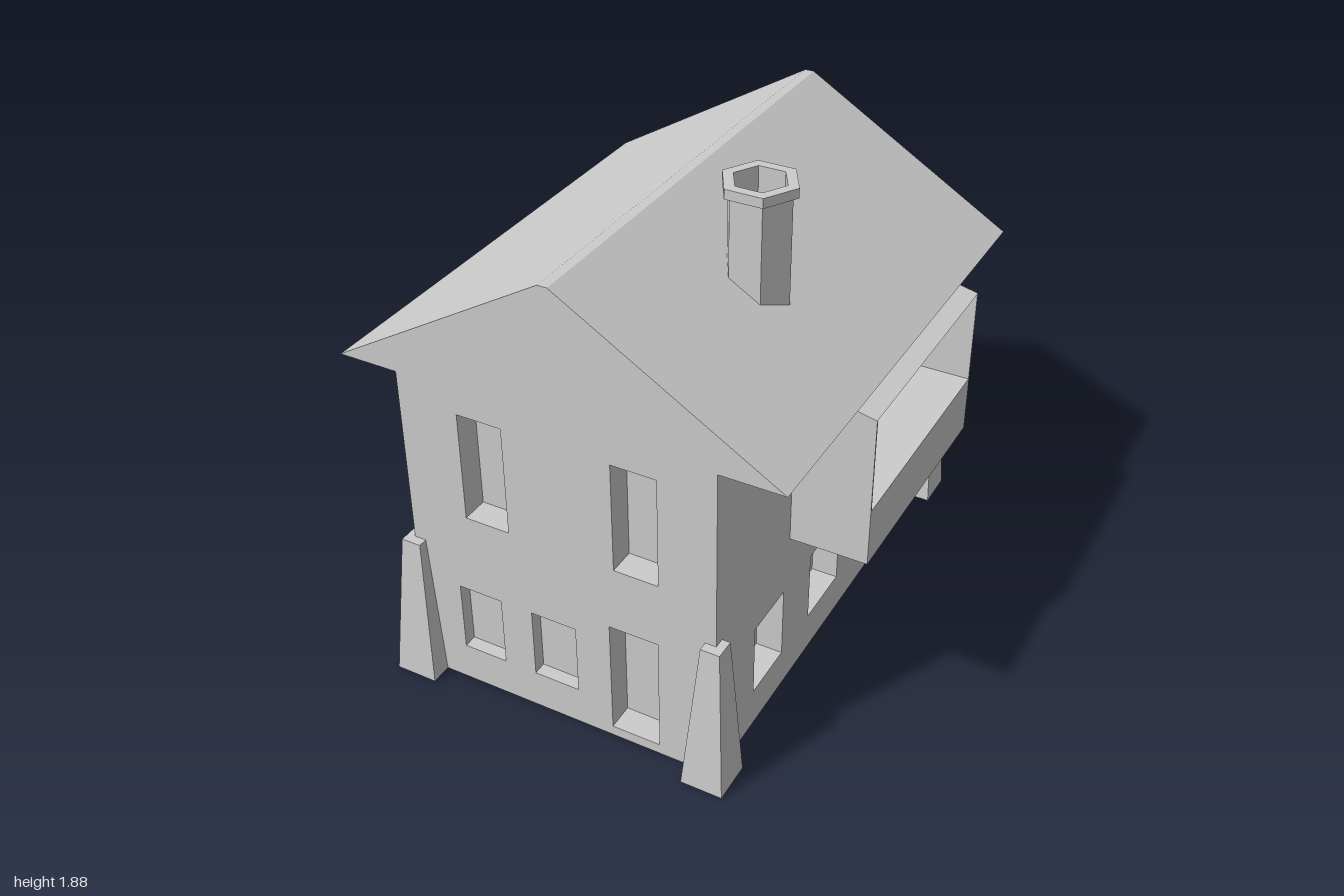
import * as THREE from 'three';

const material = new THREE.MeshStandardMaterial({ color: 0xcccccc, flatShading: true });

function addMesh(parent, name, geometry) {
  const mesh = new THREE.Mesh(geometry, material);
  mesh.name = name;
  parent.add(mesh);
  return mesh;
}

const toPoints = (list) => list.map(([x, y]) => new THREE.Vector2(x, y));
const rect = (a, b, c, d) => toPoints([[a, c], [b, c], [b, d], [a, d]]);

// Extrude an outline with optional holes from z0 to z1
function slab(outline, z0, z1, holes = []) {
  const shape = new THREE.Shape(outline);
  for (const h of holes) shape.holes.push(new THREE.Path(h));
  const g = new THREE.ExtrudeGeometry(shape, { depth: z1 - z0, bevelEnabled: false });
  return g.translate(0, 0, z0);
}

// Box given by its ranges, with a separate x and z range at the top
function taperedBlock(x, z, y0, y1, topX = x, topZ = z) {
  const g = new THREE.BoxGeometry(1, 1, 1);
  const p = g.attributes.position;
  for (let i = 0; i < p.count; i++) {
    const top = p.getY(i) > 0;
    const rx = top ? topX : x, rz = top ? topZ : z;
    p.setXYZ(i, rx[p.getX(i) > 0 ? 1 : 0], top ? y1 : y0, rz[p.getZ(i) > 0 ? 1 : 0]);
  }
  g.computeVertexNormals();
  return g;
}

function hexagon(radius) {
  return Array.from({ length: 6 }, (_, i) =>
    new THREE.Vector2(radius * Math.cos(i * Math.PI / 3), radius * Math.sin(i * Math.PI / 3)));
}

export function createModel() {
  const group = new THREE.Group();
  group.name = 'house';
  const front = 0.92, back = -0.93, left = -0.62, right = 0.56, eave = 1.26, inset = 0.1;
  const inner = front - inset;

  // Front wall and gable in one piece, with windows and door cut in
  const roofLine = [[0.79, eave], [-0.01, 1.74], [-0.045, 1.74], [-0.845, eave]];
  const lowerWindows = [[-0.445, -0.275, 0.15, 0.425], [-0.15, 0.025, 0.15, 0.425]];
  const frontHoles = [
    [-0.39, -0.22, 0.745, 1.165], [0.185, 0.35, 0.745, 1.165],
    [0.16, 0.345, 0.04, 0.495], ...lowerWindows,
  ];
  const facade = toPoints([[left, 0], [right, 0], [right, eave], ...roofLine, [left, eave]]);
  addMesh(group, 'frontWall', slab(facade, inner, front, frontHoles.map((h) => rect(...h))));

  // Shallower panes in the two small front windows
  for (const w of lowerWindows)
    addMesh(group, 'frontWindowPane', slab(rect(...w), inner, front - 0.05));

  // Core that closes the back of every recess
  addMesh(group, 'houseCore',
    taperedBlock([left + inset, right - inset], [back, inner], 0, eave));

  // Side walls, each with three windows (z ranges)
  const sides = [
    ['rightSideWall', right, [[0.42, 0.64], [-0.05, 0.2], [-0.575, -0.355]]],
    ['leftSideWall', left + inset, [[0.41, 0.66], [-0.22, 0.03], [-0.76, -0.53]]],
  ];
  for (const [name, x, windows] of sides) {
    const holes = windows.map(([a, b]) => rect(a, b, 0.15, 0.43));
    const g = slab(rect(back, inner, 0, eave), 0, inset, holes);
    addMesh(group, name, g.rotateY(-Math.PI / 2).translate(x, 0, 0));
  }

  // Solid gabled roof behind the front wall
  addMesh(group, 'roof', slab(toPoints(roofLine), back, inner));

  // Tapered corner buttresses
  const xs = [[[-0.7, -0.54], [-0.65, -0.575]], [[0.47, 0.625], [0.52, 0.59]]];
  const zs = [[[0.845, 1], [0.88, 0.955]], [[-1, -0.84], [-0.96, -0.885]]];
  for (const [x, topX] of xs)
    for (const [z, topZ] of zs)
      addMesh(group, 'cornerButtress', taperedBlock(x, z, 0, 0.58, topX, topZ));

  // Enclosed balcony: solid base, sloped canopy and thin end walls
  const balcony = new THREE.Group();
  balcony.name = 'balcony';
  group.add(balcony);
  const out = 0.845, z0 = -0.52, z1 = 0.385, thin = 0.006;
  addMesh(balcony, 'balconyBase', taperedBlock([right, out], [z0, z1], 0.64, 0.86));
  const canopy = [[right, 1.205], [out, 1.22], [0.67, eave], [right, eave]];
  addMesh(balcony, 'balconyCanopy', slab(toPoints(canopy), z0, z1));
  const endWall = toPoints([[right, 0.86], [out, 0.86], [out, 1.22], [0.67, eave], [right, eave]]);
  addMesh(balcony, 'balconyEndWall', slab(endWall, z0, z0 + thin));
  addMesh(balcony, 'balconyEndWall', slab(endWall, z1 - thin, z1));

  // Hollow six-sided chimney with a wider cap
  const chimney = new THREE.Group();
  chimney.name = 'chimney';
  chimney.position.set(0.345, 0, 0.235);
  group.add(chimney);
  const tube = (name, radius, y0, y1) => addMesh(chimney, name,
    slab(hexagon(radius), y0, y1, [hexagon(0.095)]).rotateX(-Math.PI / 2));
  tube('chimneyShaft', 0.115, 1.4, 1.845);
  tube('chimneyCap', 0.135, 1.845, 1.88);

  return group;
}
